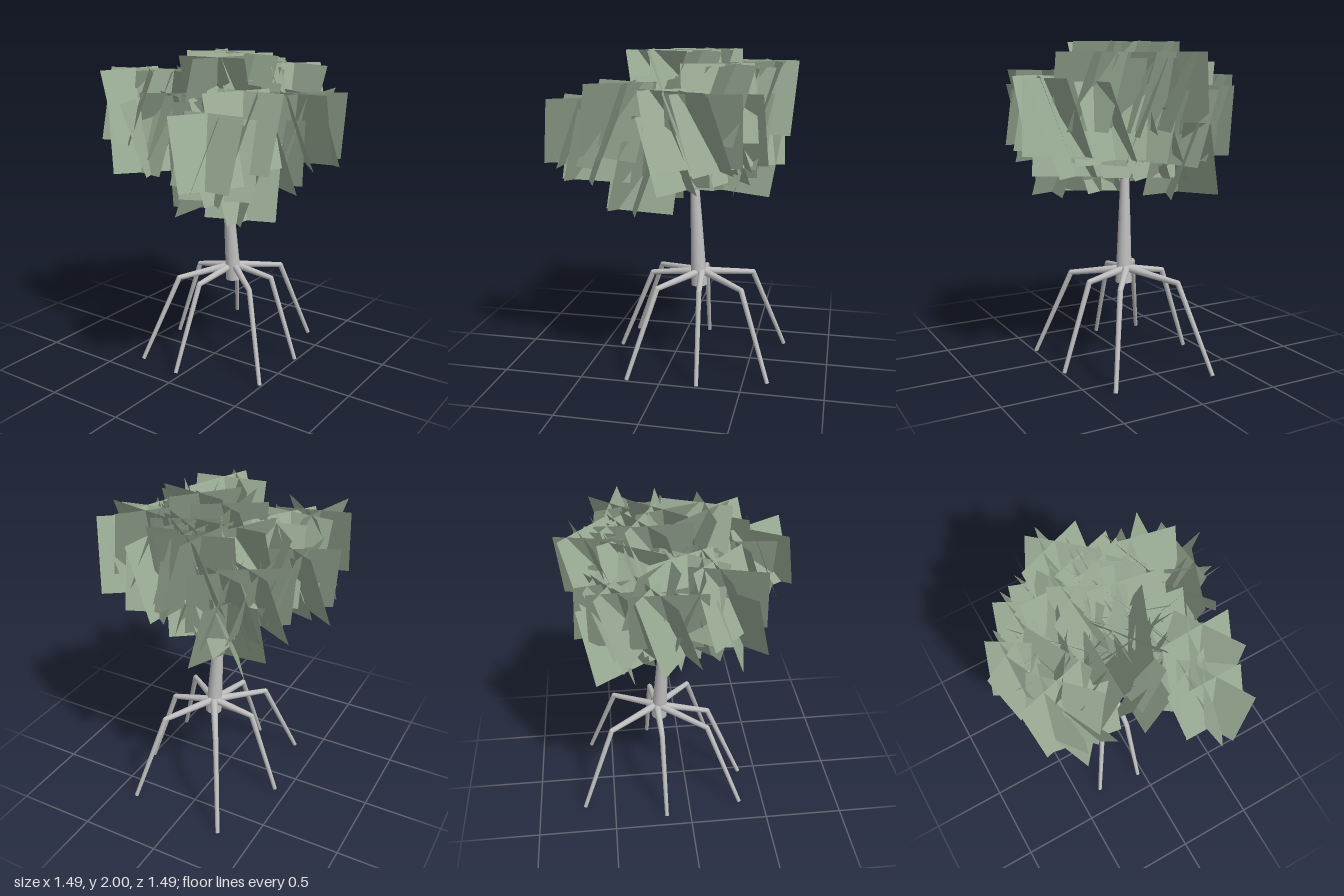
import * as THREE from 'three';
import { mergeGeometries } from 'three/addons/utils/BufferGeometryUtils.js';

const bark = new THREE.MeshStandardMaterial({ color: 0xbebebe });
bark.name = 'grey bark';
const leaf = new THREE.MeshStandardMaterial({ color: 0x9bad96, side: THREE.DoubleSide });
leaf.name = 'sage green leaf';

const v = (p) => new THREE.Vector3(...p);
const rad = THREE.MathUtils.degToRad;

// Tapered round limb between two points
function limb(a, b, r0, r1, sides = 10) {
  const dir = v(b).sub(v(a));
  const g = new THREE.CylinderGeometry(r1, r0, dir.length(), sides);
  g.applyQuaternion(new THREE.Quaternion().setFromUnitVectors(new THREE.Vector3(0, 1, 0), dir.normalize()));
  const mid = v(a).add(v(b)).multiplyScalar(0.5);
  return g.translate(mid.x, mid.y, mid.z);
}

// Three crossed cards, each leaning 20 degrees
function leafCluster([x, y, z, yaw], size) {
  const cards = [-30, -90, -150].map((turn) =>
    new THREE.PlaneGeometry(size * 0.93, size)
      .rotateX(rad(-20))
      .rotateY(rad(yaw + turn))
      .translate(x, y, z));
  return mergeGeometries(cards);
}

function add(parent, name, geometry, material) {
  const m = new THREE.Mesh(geometry, material);
  m.name = name;
  parent.add(m);
}

// Feet of the stilt roots: x, z
const feet = [
  [0.7, -0.28], [0.65, 0.36], [0.23, 0.49], [-0.21, 0.49],
  [-0.38, -0.04], [-0.34, -0.34], [0.16, -0.42],
];

// Outer leaf clusters: x, y, z, yaw in degrees
const clusters = [
  [-0.535, 1.53, 0.32, 0], [-0.4, 1.46, 0.31, 25], [-0.27, 1.61, 0.385, 2],
  [0.27, 1.57, 0.515, 215], [0.12, 1.58, 0.5, 190], [0.52, 1.715, -0.07, 19],
  [0.14, 1.58, -0.51, 28], [-0.2, 1.68, -0.45, 15], [-0.23, 1.5, -0.37, 50],
  [0.37, 1.52, -0.35, 32], [0.45, 1.5, -0.2, 40], [0.43, 1.31, -0.2, 5],
  [-0.13, 1.28, 0.3, 20], [-0.06, 1.78, 0.06, 188], [0.18, 1.78, -0.08, 33],
  [0.33, 1.715, 0.35, 48], [0.38, 1.55, 0.25, 202], [0.4, 1.53, 0.04, 55],
  [-0.1, 1.55, -0.22, 210], [0.1, 1.52, -0.35, 45], [0.2, 1.66, -0.32, 194],
  [0.0, 1.63, 0.22, 52], [0.2, 1.5, 0.22, 185], [-0.17, 1.28, 0.06, 210],
  [0.3, 1.42, 0.02, 216], [0.08, 1.38, 0.05, 18], [0.02, 1.67, -0.4, 237],
  [0.3, 1.7, 0.1, 27], [-0.1, 1.52, 0.02, 222], [0.15, 1.47, -0.15, 9],
  [0.05, 1.42, 0.36, 211], [0.1, 1.78, 0.14, 50], [0.28, 1.7, -0.18, 0],
];

// Dense core of the crown, spread on a golden-angle spiral
for (let i = 0; i < 10; i++) {
  const a = i * 2.4, r = 0.08 + 0.019 * i;
  clusters.push([0.19 + r * Math.cos(a), 1.4 + 0.07 * (i * 3 % 5), -0.03 + r * Math.sin(a), i * 137]);
}

export function createModel() {
  const tree = new THREE.Group();
  tree.name = 'stiltRootTree';

  // Leaning trunk
  const trunk = [[0.165, 0.505, 0.04], [0.14, 0.93, 0.022], [0.125, 1.18, 0.012]];
  add(tree, 'lowerTrunk', limb(trunk[0], trunk[1], 0.052, 0.037, 14), bark);
  add(tree, 'upperTrunk', limb(trunk[1], trunk[2], 0.037, 0.027, 14), bark);

  // Bent stilt roots spreading from the trunk base
  const hub = [0.18, 0.6, 0.03];
  const roots = new THREE.Group();
  roots.name = 'stiltRoots';
  for (const [x, z] of feet) {
    const knee = [hub[0] + (x - hub[0]) * 0.6, 0.55, hub[2] + (z - hub[2]) * 0.6];
    const joint = new THREE.SphereGeometry(0.017, 10, 6).translate(...knee);
    add(roots, 'root', mergeGeometries([
      limb(hub, knee, 0.024, 0.017), joint, limb(knee, [x, 0.007, z], 0.017, 0.013),
    ]), bark);
  }
  tree.add(roots);

  // Branches reaching into the crown
  const branches = new THREE.Group();
  branches.name = 'branches';
  for (const i of [0, 3, 5, 6, 7, 13]) {
    const [x, y, z] = clusters[i];
    add(branches, 'branch', limb([0.126, 1.16, 0.013], [x, y, z], 0.019, 0.009, 8), bark);
  }
  tree.add(branches);

  // Crown of crossed leaf cards
  const crown = new THREE.Group();
  crown.name = 'crown';
  clusters.forEach((c, i) => add(crown, 'leafCluster', leafCluster(c, i === 0 ? 0.43 : 0.47), leaf));
  tree.add(crown);

  return tree;
}
